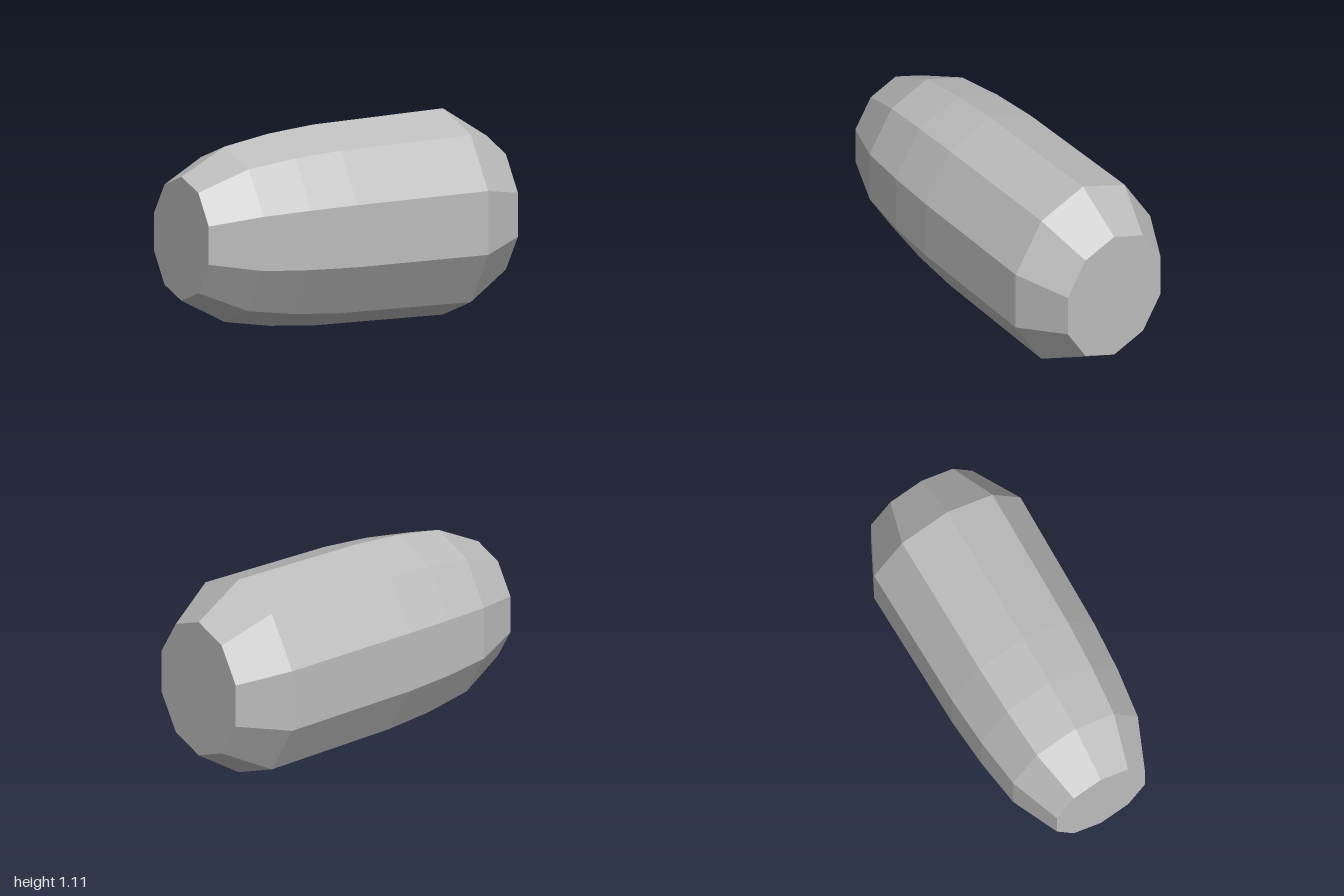
import * as THREE from 'three';

export function createModel() {
  const group = new THREE.Group();
  const grey = new THREE.MeshStandardMaterial({ color: 0xbcbcbc, flatShading: true });
  grey.name = 'plain grey';

  // Ring radius and position along the axis, closed by flat end caps
  const profile = [
    [0, -0.957], [0.332, -0.957], [0.47, -0.685], [0.515, -0.408],
    [0.538, -0.128], [0.5525, 0.683], [0.382, 0.957], [0, 0.957],
  ].map(([r, t]) => new THREE.Vector2(r, t));

  // Ten-sided barrel with a ridge on top, laid on its side and narrowed
  const lathe = new THREE.LatheGeometry(profile, 10, Math.PI / 2);
  lathe.rotateZ(-Math.PI / 2);
  lathe.scale(1, 1, 0.847);
  const geometry = lathe.toNonIndexed();
  geometry.computeVertexNormals();

  const barrel = new THREE.Mesh(geometry, grey);
  barrel.name = 'barrelBody';
  barrel.rotation.y = THREE.MathUtils.degToRad(-17);
  barrel.position.set(-0.004, 0.5525, -0.034);
  group.add(barrel);
  return group;
}
